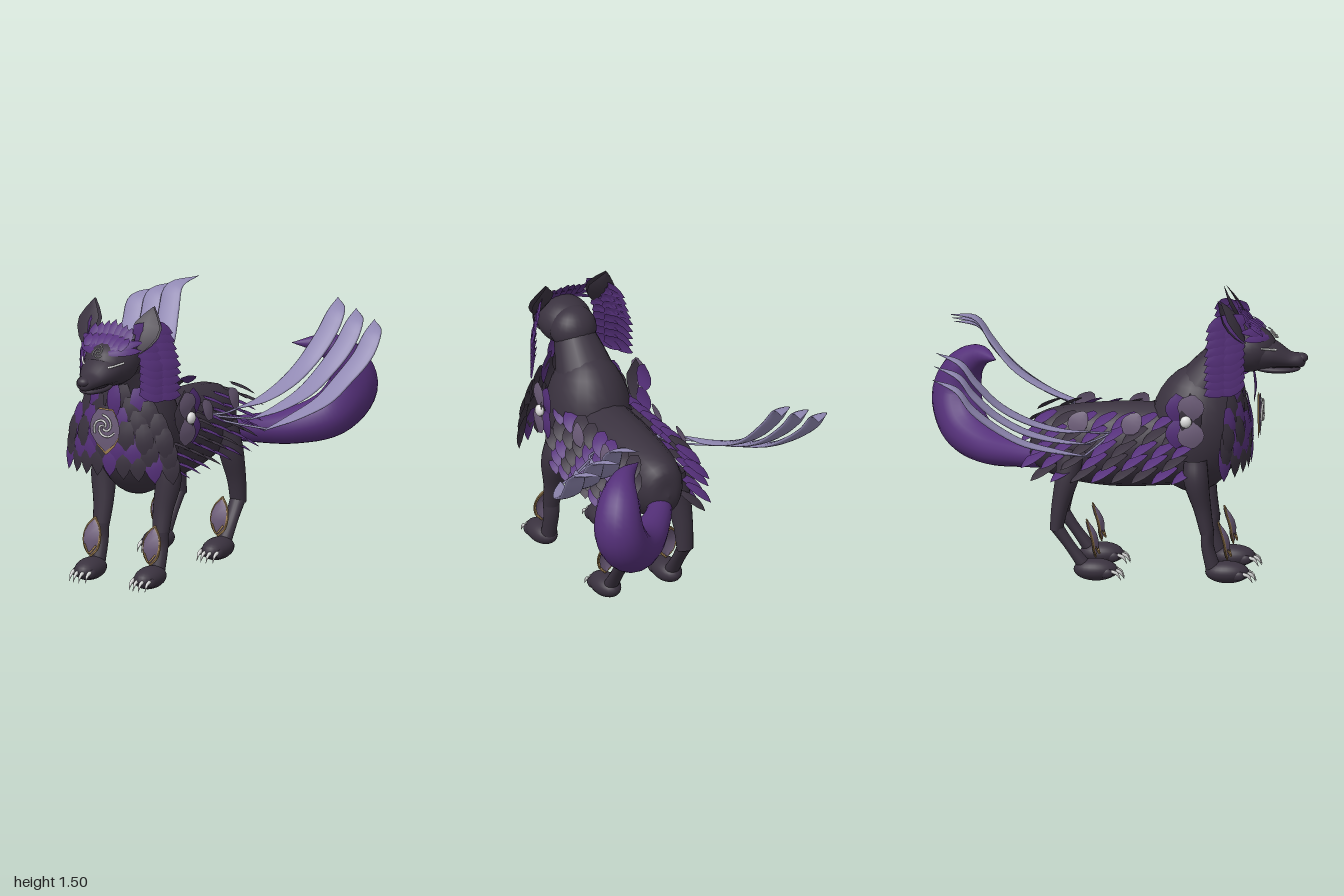
import * as THREE from 'three';
import { mergeGeometries } from 'three/addons/utils/BufferGeometryUtils.js';

const V = (x, y, z) => new THREE.Vector3(x, y, z);
const SIDES = [1, -1];
const FEATHER = [0.5, 0.85, 1, 0.95, 0.62, 0];
const KITE = [0, 0.6, 0.95, 1, 0.55, 0];
const SHIELD = [0, 0.78, 1, 1, 0.72, 0];
const PETAL = [0.25, 0.7, 0.95, 1, 0.8, 0.15];

// Leaf growing from pos along dir, facing normal, slightly cupped and bent
function leaf(pos, dir, normal, w, l, profile = FEATHER, bend = 0.08) {
  const g = new THREE.PlaneGeometry(1, 1, 2, 5);
  const p = g.attributes.position;
  for (let i = 0; i < p.count; i++) {
    const t = p.getY(i) + 0.5, x = p.getX(i);
    const f = profile[Math.round(t * 5)];
    p.setXYZ(i, x * f * w, t * l, bend * l * (Math.sin(t * Math.PI) - Math.abs(x) * 1.2 * f));
  }
  g.deleteAttribute('uv');
  g.computeVertexNormals();
  const Y = dir.clone().normalize();
  const X = Y.clone().cross(normal).normalize();
  const Z = X.clone().cross(Y);
  return g.applyMatrix4(new THREE.Matrix4().makeBasis(X, Y, Z).setPosition(pos));
}

// Smooth skin through rings [x, y, z, radius across, radius other way]
function loft(rings, ref = V(1, 0, 0), segs = 24, sides = 18) {
  const path = new THREE.CatmullRomCurve3(rings.map(r => V(r[0], r[1], r[2])), false, 'catmullrom');
  const size = new THREE.CatmullRomCurve3(rings.map(r => V(r[3], r[4], 0)), false, 'catmullrom');
  const pos = [], idx = [];
  for (let i = 0; i <= segs; i++) {
    const u = i / segs, c = path.getPoint(u), r = size.getPoint(u), T = path.getTangent(u);
    const S = ref.clone().addScaledVector(T, -ref.dot(T)).normalize();
    const U = T.clone().cross(S);
    for (let j = 0; j < sides; j++) {
      const a = j / sides * Math.PI * 2;
      const q = c.clone().addScaledVector(S, Math.cos(a) * Math.max(r.x, 0.001))
        .addScaledVector(U, Math.sin(a) * Math.max(r.y, 0.001));
      pos.push(q.x, q.y, q.z);
      if (i < segs) {
        const k = i * sides + j, n = i * sides + (j + 1) % sides;
        idx.push(k, n, k + sides, n, n + sides, k + sides);
      }
    }
  }
  const g = new THREE.BufferGeometry();
  g.setAttribute('position', new THREE.Float32BufferAttribute(pos, 3));
  g.setIndex(idx);
  g.computeVertexNormals();
  return g;
}

function ball(x, y, z, rx, ry, rz, tilt = 0) {
  const g = new THREE.SphereGeometry(1, 24, 16).scale(rx, ry, rz).rotateX(tilt).translate(x, y, z);
  g.deleteAttribute('uv');
  return g;
}

function tube(points, r) {
  const g = new THREE.TubeGeometry(new THREE.CatmullRomCurve3(points), 20, r, 6);
  g.deleteAttribute('uv');
  return g;
}

export function createModel() {
  const model = new THREE.Group();
  const mat = (name, color) => new THREE.MeshStandardMaterial({ name, color, side: THREE.DoubleSide });
  const dark = mat('charcoal', 0x3a323f), purple = mat('purple', 0x55307a), lavender = mat('lavender', 0x9088b2);
  const mauve = mat('mauve', 0x6c5c78), gold = mat('gold', 0xa08052), white = mat('silver white', 0xdcdcdc);
  const black = mat('mouth black', 0x1c171f);
  const add = (name, material, geos) => {
    const m = new THREE.Mesh(mergeGeometries(geos), material);
    m.name = name;
    model.add(m);
  };
  let seed = 11;
  const rnd = () => (seed = (seed * 16807) % 2147483647) / 2147483647;

  // Torso, chest, neck
  add('torso', dark, [loft([[0, 0.69, -0.45, 0, 0], [0, 0.69, -0.42, 0.09, 0.12], [0, 0.7, -0.3, 0.15, 0.185],
    [0, 0.695, -0.05, 0.185, 0.22], [0, 0.7, 0.2, 0.2, 0.22], [0, 0.72, 0.45, 0.17, 0.2], [0, 0.72, 0.55, 0, 0]])]);
  add('chest', dark, [ball(0, 0.79, 0.42, 0.22, 0.34, 0.245, 0.1)]);
  add('neck', dark, [loft([[0, 0.95, 0.43, 0.17, 0.17], [0, 1.07, 0.5, 0.14, 0.13], [0, 1.2, 0.6, 0.1, 0.1]])]);

  // Head with muzzle, jaw, nose
  add('head', dark, [ball(0, 1.22, 0.68, 0.14, 0.125, 0.16), ball(0, 1.21, 0.585, 0.125, 0.12, 0.115)]);
  add('muzzle', dark, [loft([[0, 1.21, 0.7, 0.125, 0.11], [0, 1.19, 0.81, 0.105, 0.075], [0, 1.165, 0.9, 0.066, 0.042],
    [0, 1.16, 0.97, 0.042, 0.036], [0, 1.16, 0.99, 0, 0]])]);
  add('jaw', dark, [ball(0, 1.115, 0.84, 0.072, 0.024, 0.12)]);
  add('mouthLine', black, [ball(0, 1.132, 0.86, 0.07, 0.005, 0.105)]);
  add('nose', dark, [ball(0, 1.173, 0.965, 0.036, 0.026, 0.035)]);
  add('eyes', white, SIDES.map(s => tube([V(s * 0.07, 1.228, 0.84), V(s * 0.095, 1.236, 0.815), V(s * 0.125, 1.246, 0.768)], 0.006)));
  add('ears', dark, SIDES.flatMap(s => [0, 0.012].map(d =>
    leaf(V(s * 0.17, 1.28, 0.69 - d), V(s * 0.03, 0.86, -0.5), V(s * 0.25, 0.5, 0.85), 0.14, 0.265, KITE, d ? -0.1 : 0.08))));

  // Cheek mane, crown fringe and brow plumes
  const mane = [];
  for (const s of SIDES) for (let r = 0; r < 9; r++) for (let c = 0; c < 2; c++) {
    const y = 1.41 - r * 0.041, low = Math.min(1, r / 4);
    mane.push(leaf(V(s * (0.13 + 0.035 * c + 0.04 * low), y, 0.68 - c * 0.06),
      V(s * 0.52, -0.28, -0.76), V(s * 0.72, 0.3, 0.6), 0.09, 0.165 + 0.01 * low));
  }
  add('cheekMane', purple, mane);
  const crown = [];
  for (let i = -3; i <= 3; i++) {
    const x = i * 0.033, a = Math.abs(i);
    crown.push(leaf(V(x, 1.325, 0.72), V(x * 1.2, 0.85, -0.65), V(x, 0.6, 0.8), 0.055, 0.14 - a * 0.012));
    crown.push(leaf(V(x, 1.31, 0.775), V(x * 2, 0.55, -0.8), V(x, 0.8, 0.5), 0.05, 0.13 - a * 0.012));
  }
  add('crownFringe', purple, crown);
  add('browPlumes', purple, SIDES.flatMap(s => [0, 1].map(i =>
    leaf(V(s * 0.05, 1.295 + i * 0.015, 0.8 - i * 0.02), V(s, 0.02 + i * 0.22, -0.9), V(s * 0.35, 0.6, 0.7), 0.05, 0.18))));

  // Chest ruff: hanging rows of mixed feathers
  const ruff = [[], []];
  for (let r = 0; r < 6; r++) {
    const W = [0.12, 0.18, 0.23, 0.26, 0.275, 0.285][r], n = 4 + r;
    for (let i = 0; i < n; i++) {
      const k = i / (n - 1) * 2 - 1, x = k * W;
      const y = 1.11 - r * 0.064 - 0.03 * Math.abs(k);
      const z = 0.645 + Math.min(r, 3) * 0.018 - 1.4 * x * x;
      const isPurple = rnd() < (r < 2 ? 0.12 : 0.36);
      ruff[isPurple ? 1 : 0].push(leaf(V(x, y, z), V(k * 0.17, -1, 0.02), V(k * 0.7, 0.1, 1), 0.096, 0.185));
    }
  }
  add('ruffDarkFeathers', dark, ruff[0]);
  add('ruffPurpleFeathers', purple, ruff[1].concat(leaf(V(0.035, 1.11, 0.715), V(0, -1, 0), V(0, 0, 1), 0.085, 0.19)));

  // Flank feathers swept back and down
  const flank = [[], []];
  for (const s of SIDES) for (let r = 0; r < 5; r++) for (let c = 0; c < 8; c++) {
    const z = 0.43 - c * 0.105 - (r % 2) * 0.05, y = 0.9 - r * 0.07;
    const taper = z < -0.15 ? (z + 0.15) * 0.15 : 0;
    const x = [0.15, 0.18, 0.195, 0.19, 0.175][r] + taper;
    flank[rnd() < 0.72 ? 1 : 0].push(
      leaf(V(s * x, y, z), V(s * 0.45, -0.48, -0.72), V(s * 0.34, 0.85, -0.3), 0.085, 0.165));
  }
  add('flankDarkFeathers', dark, flank[0]);
  add('flankPurpleFeathers', purple, flank[1]);

  // Shoulder rosettes and small flank petals
  const mauvePetals = [], purplePetals = [], backing = [], pearls = [];
  for (const s of SIDES) {
    const N = V(s, 0, 0.12), at = (d, z) => V(s * (0.285 + d), 0.89, z);
    backing.push(leaf(V(s * 0.275, 0.76, 0.41), V(0, 1, 0), V(s, 0, 0.5), 0.13, 0.28, KITE));
    for (const v of SIDES) {
      mauvePetals.push(leaf(at(0.008, 0.4), V(0, v, 0.2), N, 0.14, 0.145, PETAL));
      purplePetals.push(leaf(at(0, 0.355), V(0, v, -0.12), N, 0.13, 0.15, FEATHER));
    }
    pearls.push(ball(s * 0.305, 0.89, 0.39, 0.022, 0.032, 0.03));
    for (const [z, x] of [[0.1, 0.225], [-0.18, 0.215]])
      mauvePetals.push(leaf(V(s * x, 0.91, z + 0.04), V(s * 0.1, -0.7, -0.5), V(s, 0.3, 0), 0.105, 0.13, PETAL));
  }
  add('rosetteBacking', dark, backing);
  add('mauvePetals', mauve, mauvePetals);
  add('purplePetals', purple, purplePetals);
  add('pearls', white, pearls);

  // Chest plate and swirls
  add('chestPlateRim', gold, [leaf(V(0, 0.98, 0.742), V(0, -1, 0), V(0, 0, 1), 0.17, 0.25, FEATHER, 0.03)]);
  add('chestPlate', mauve, [leaf(V(0, 0.975, 0.75), V(0, -1, 0), V(0, 0, 1), 0.18, 0.225, FEATHER, 0.03)]);
  const swirl = (cy, z, R, r, lean) => [0, 1, 2].map(k => tube(Array.from({ length: 10 }, (_, i) => {
    const a = k * 2.094 + i * 0.42, q = R * (0.1 + 0.9 * i / 9), h = Math.sin(a) * q;
    return V(Math.cos(a) * q, cy + h, z - h * lean);
  }), r));
  add('chestSwirl', white, swirl(0.885, 0.764, 0.066, 0.006, 0));
  add('browSwirl', white, swirl(1.3, 0.822, 0.03, 0.0035, 0.9));

  // Legs, paws, claws and shin guards
  const legs = [], paws = [], claws = [], rims = [], guards = [];
  for (const s of SIDES) for (const front of [true, false]) {
    const x = s * 0.18, pz = front ? 0.595 : -0.09;
    legs.push(front
      ? loft([[s * 0.19, 0.66, 0.43, 0.05, 0.06], [s * 0.195, 0.55, 0.435, 0.068, 0.065], [x, 0.4, 0.465, 0.056, 0.046], [x, 0.27, 0.49, 0.045, 0.036]])
      : loft([[s * 0.15, 0.7, -0.22, 0.06, 0.07], [s * 0.17, 0.55, -0.24, 0.066, 0.062], [x, 0.4, -0.275, 0.053, 0.045], [x, 0.27, -0.295, 0.045, 0.034]]));
    legs.push(front
      ? loft([[x, 0.29, 0.493, 0.046, 0.034], [x, 0.2, 0.492, 0.043, 0.033], [x, 0.07, 0.525, 0.04, 0.04]])
      : loft([[x, 0.29, -0.295, 0.043, 0.034], [x, 0.19, -0.225, 0.038, 0.028], [x, 0.08, -0.145, 0.04, 0.035]]));
    paws.push(ball(x, 0.065, pz, 0.072, 0.058, 0.115));
    for (let i = 0; i < 4; i++) {
      const cx = x + (i - 1.5) * 0.032, cz = pz + (i % 3 ? 0.1 : 0.085);
      paws.push(ball(cx, 0.055, cz - 0.025, 0.018, 0.026, 0.035));
      claws.push(loft([[cx, 0.065, cz, 0.01, 0.01], [cx, 0.055, cz + 0.03, 0.009, 0.009], [cx, 0.02, cz + 0.05, 0, 0]], V(1, 0, 0), 5, 6));
    }
    const up = V(0, 1, -0.24), out = V(0, 0.24, 1);
    rims.push(leaf(V(x, 0.13, pz), up, out, 0.1, 0.205, SHIELD, 0.16));
    for (const e of SIDES) rims.push(tube([V(x, 0.13, pz), V(x + e * 0.038, 0.17, pz - 0.006),
      V(x + e * 0.05, 0.23, pz - 0.014), V(x + e * 0.036, 0.285, pz - 0.03), V(x, 0.33, pz - 0.048)], 0.0045));
    rims.push(tube([V(x - 0.034, 0.19, pz + 0.004), V(x, 0.15, pz + 0.02), V(x + 0.034, 0.19, pz + 0.004)], 0.005));
    guards.push(leaf(V(x, 0.138, pz + 0.005), up, out, 0.088, 0.188, SHIELD, 0.16));
    guards.push(leaf(V(x, 0.138, pz - 0.01), up, out, 0.088, 0.188, SHIELD, 0.16));
  }
  add('legs', dark, legs);
  add('paws', dark, paws);
  add('claws', white, claws);
  add('shinGuardRims', gold, rims);
  add('shinGuards', mauve, guards);

  // Tail hooking up and over towards its pointed tip
  add('tail', purple, [loft([[0, 0.62, -0.36, 0.06, 0.06], [0.1, 0.605, -0.5, 0.075, 0.07], [0.27, 0.6, -0.68, 0.105, 0.095],
    [0.43, 0.66, -0.82, 0.125, 0.125], [0.525, 0.8, -0.875, 0.13, 0.13], [0.51, 0.95, -0.84, 0.11, 0.1],
    [0.43, 1.04, -0.75, 0.06, 0.06], [0.29, 1.055, -0.65, 0, 0]], V(0.67, 0, 0.74), 40)]);

  // Wings: three long ribbon plumes a side on thin stems
  for (const s of SIDES) {
    const plumes = [];
    for (let i = 0; i < 3; i++) {
      const o = i * 0.11, d = i * 0.045, m = i * 0.032;
      plumes.push(loft([[s * (0.27 + i * 0.09), 0.82 - d, -0.1, 0.003, 0.003], [s * (0.335 + i * 0.1), 0.84 - m, -0.26, 0.038, 0.008],
        [s * (0.39 + o), 0.9 - m, -0.43, 0.054, 0.012], [s * (0.43 + o), 0.99 - m, -0.575, 0.058, 0.014],
        [s * (0.475 + o), 1.12 - d, -0.69, 0.06, 0.014], [s * (0.487 + o), 1.225 - d, -0.77, 0.05, 0.01],
        [s * (0.42 + o), 1.26 - d, -0.9, 0, 0]], V(1, 0, 0), 30, 12));
      plumes.push(tube([V(s * 0.17, 0.8, 0), V(s * 0.25, 0.81 - d * 0.5, -0.05), V(s * (0.28 + i * 0.09), 0.822 - d, -0.13)], 0.006));
    }
    add(s > 0 ? 'leftWing' : 'rightWing', lavender, plumes);
  }
  return model;
}
